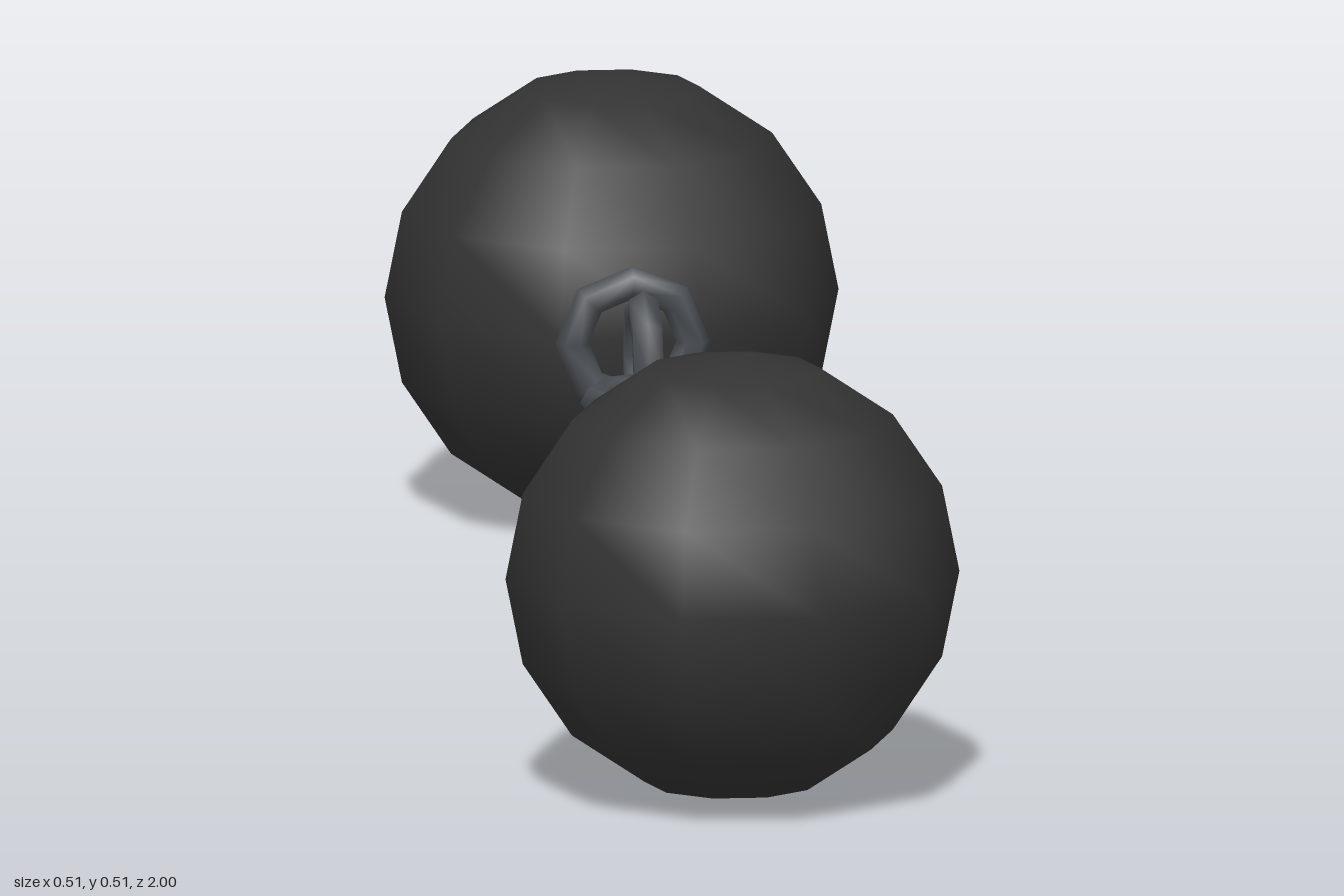
import * as THREE from 'three';

export function createModel() {
  const group = new THREE.Group();
  const iron = new THREE.MeshStandardMaterial({ color: 0x333333 });
  iron.name = 'darkIron';
  const steel = new THREE.MeshStandardMaterial({ color: 0x4b4f54 });
  steel.name = 'chainSteel';

  const radius = 0.255;
  const ballGeometry = new THREE.SphereGeometry(radius, 10, 8);
  const linkGeometry = new THREE.TorusGeometry(0.068, 0.019, 6, 8);

  const add = (name, geometry, material, z) => {
    const mesh = new THREE.Mesh(geometry, material);
    mesh.name = name;
    mesh.position.set(0, radius, z);
    group.add(mesh);
    return mesh;
  };

  // heavy ball and the ring facing it, at each end
  for (const [end, side] of [['front', 1], ['back', -1]]) {
    add(`${end}Ball`, ballGeometry, iron, side * 0.7575);
    add(`${end}BallRing`, linkGeometry, steel, side * 0.495);
  }

  // chain links, alternately upright and lying flat
  for (let i = -2; i <= 2; i++) {
    const link = add(`chainLink${i + 3}`, linkGeometry, steel, i * 0.179);
    if (i % 2 === 0) link.rotation.y = Math.PI / 2;
    else link.rotation.x = Math.PI / 2;
  }

  return group;
}
